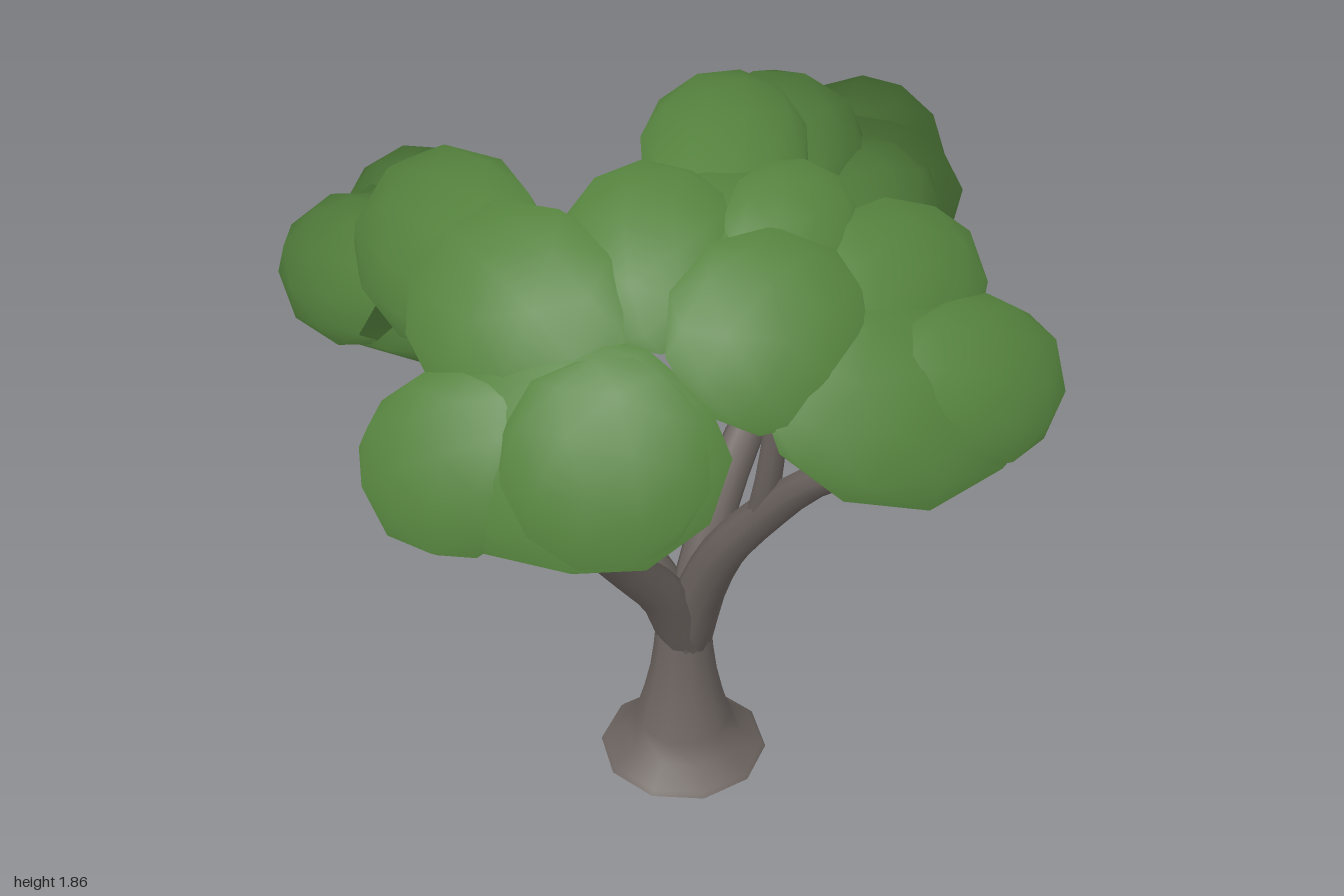
import * as THREE from 'three';

const bark = new THREE.MeshStandardMaterial({ name: 'bark', color: 0x6c6460, side: THREE.DoubleSide });
const leaf = new THREE.MeshStandardMaterial({ name: 'leaf green', color: 0x55823e });

// Tube along a smooth path, tapering evenly from r0 to r1
function branch(name, points, r0, r1) {
  const curve = new THREE.CatmullRomCurve3(points.map((p) => new THREE.Vector3(...p)));
  const rings = points.length * 2;
  const sides = 9;
  const geo = new THREE.TubeGeometry(curve, rings, 1, sides, false);
  const pos = geo.attributes.position;
  const v = new THREE.Vector3();
  for (let i = 0; i <= rings; i++) {
    const c = curve.getPointAt(i / rings);
    const r = r0 + (r1 - r0) * (i / rings);
    for (let j = 0; j <= sides; j++) {
      const k = i * (sides + 1) + j;
      v.fromBufferAttribute(pos, k).sub(c).multiplyScalar(r).add(c);
      pos.setXYZ(k, v.x, v.y, v.z);
    }
  }
  const mesh = new THREE.Mesh(geo, bark);
  mesh.name = name;
  return mesh;
}

// Slightly boxy leaf puff whose normals lean outward from the middle of the crown
const crown = new THREE.Vector3(0, 1.12, 0);
const boxiness = 2.2;
function puff(x, y, z, rx, ry = rx, rz = rx) {
  const geo = new THREE.IcosahedronGeometry(1, 1);
  geo.rotateY(x * 7 + z * 5).rotateX(y * 3);
  const pos = geo.attributes.position;
  const nor = geo.attributes.normal;
  const p = new THREE.Vector3();
  const n = new THREE.Vector3();
  for (let i = 0; i < pos.count; i++) {
    p.fromBufferAttribute(pos, i);
    const sum = [p.x, p.y, p.z].reduce((s, c) => s + Math.abs(c) ** boxiness, 0);
    p.multiplyScalar(1.02 / sum ** (1 / boxiness));
    pos.setXYZ(i, x + p.x * rx, y + p.y * ry, z + p.z * rz);
    n.fromBufferAttribute(nor, i);
    p.fromBufferAttribute(pos, i).sub(crown).normalize();
    n.addScaledVector(p, 2.5).normalize();
    nor.setXYZ(i, n.x, n.y, n.z);
  }
  const mesh = new THREE.Mesh(geo, leaf);
  mesh.name = 'leafPuff';
  return mesh;
}

export function createModel() {
  const tree = new THREE.Group();
  tree.name = 'tree';

  // Flared trunk, hollow and open at the ground
  const profile = [[0.215, 0], [0.205, 0.012], [0.15, 0.055], [0.125, 0.11], [0.1, 0.2],
    [0.085, 0.27], [0.076, 0.34], [0.07, 0.41]];
  const trunk = new THREE.Mesh(
    new THREE.LatheGeometry(profile.map((p) => new THREE.Vector2(...p)), 10), bark);
  trunk.name = 'trunk';
  trunk.position.x = 0.01;
  trunk.rotation.y = Math.PI / 10;
  tree.add(trunk);

  // Four main limbs, each with a thin upright fork
  const limbs = {
    right: {
      main: [[0.01, 0.39, 0], [-0.07, 0.56, 0.03], [-0.18, 0.69, 0.06], [-0.33, 0.8, 0.1],
        [-0.48, 0.97, 0.11], [-0.68, 1.1, 0.12]],
      fork: [[-0.32, 0.8, 0.11], [-0.36, 1.0, 0.14], [-0.4, 1.28, 0.2]],
    },
    left: {
      main: [[0.02, 0.39, 0], [0.09, 0.6, 0.02], [0.18, 0.78, 0.04], [0.3, 0.95, 0.05],
        [0.46, 1.14, 0.07], [0.68, 1.3, 0.08]],
      fork: [[0.28, 0.92, 0.05], [0.32, 1.08, 0.07], [0.36, 1.4, 0.08]],
    },
    front: {
      main: [[0.02, 0.39, 0], [0.03, 0.58, 0.1], [0.03, 0.71, 0.2], [0.04, 0.86, 0.32],
        [0.09, 1.05, 0.46], [0.18, 1.25, 0.65]],
      fork: [[0.04, 0.84, 0.31], [0.03, 1.0, 0.36], [0.01, 1.38, 0.43]],
    },
    back: {
      main: [[0.02, 0.39, 0], [0.02, 0.58, -0.06], [0.01, 0.72, -0.13], [0, 0.87, -0.25],
        [-0.01, 1.02, -0.42], [-0.03, 1.2, -0.65]],
      fork: [[0, 0.85, -0.24], [-0.01, 1.03, -0.28], [-0.03, 1.42, -0.38]],
    },
  };
  for (const [side, { main, fork }] of Object.entries(limbs)) {
    tree.add(branch(side + 'Limb', main, 0.067, 0.03));
    tree.add(branch(side + 'Fork', fork, 0.035, 0.024));
  }

  // Leaf clusters: x, y, z, then radii
  const clusters = {
    rightLeaves: [
      [-0.67, 1.27, 0.13, 0.29, 0.19, 0.29],
      [-0.82, 1.29, 0.02, 0.18, 0.17, 0.18],
      [-0.71, 1.34, 0.33, 0.185, 0.175, 0.18],
      [-0.46, 1.34, 0.23, 0.18, 0.17, 0.18],
      [-0.46, 1.47, 0.27, 0.215, 0.23, 0.215],
    ],
    frontLeaves: [
      [0.19, 1.4, 0.6, 0.35, 0.2, 0.3],
      [0.07, 1.43, 0.82, 0.185, 0.19, 0.18],
      [0.37, 1.5, 0.68, 0.21],
      [-0.05, 1.58, 0.48, 0.23],
    ],
    backLeaves: [
      [-0.02, 1.35, -0.64, 0.28, 0.2, 0.29],
      [-0.08, 1.38, -0.8, 0.2, 0.18, 0.2],
      [0.15, 1.44, -0.5, 0.175],
      [-0.06, 1.54, -0.42, 0.21],
    ],
    leftLeaves: [
      [0.66, 1.47, 0.07, 0.28, 0.2, 0.29],
      [0.82, 1.55, 0.03, 0.175],
      [0.53, 1.6, -0.08, 0.19],
      [0.42, 1.6, 0.22, 0.21],
    ],
    topLeaves: [
      [0.17, 1.58, 0.01, 0.28, 0.17, 0.28],
      [-0.02, 1.68, -0.18, 0.185],
      [0.07, 1.62, 0.18, 0.2],
      [0.32, 1.72, 0.02, 0.14],
    ],
  };
  for (const [name, puffs] of Object.entries(clusters)) {
    const group = new THREE.Group();
    group.name = name;
    puffs.forEach((p) => group.add(puff(...p)));
    tree.add(group);
  }
  return tree;
}
